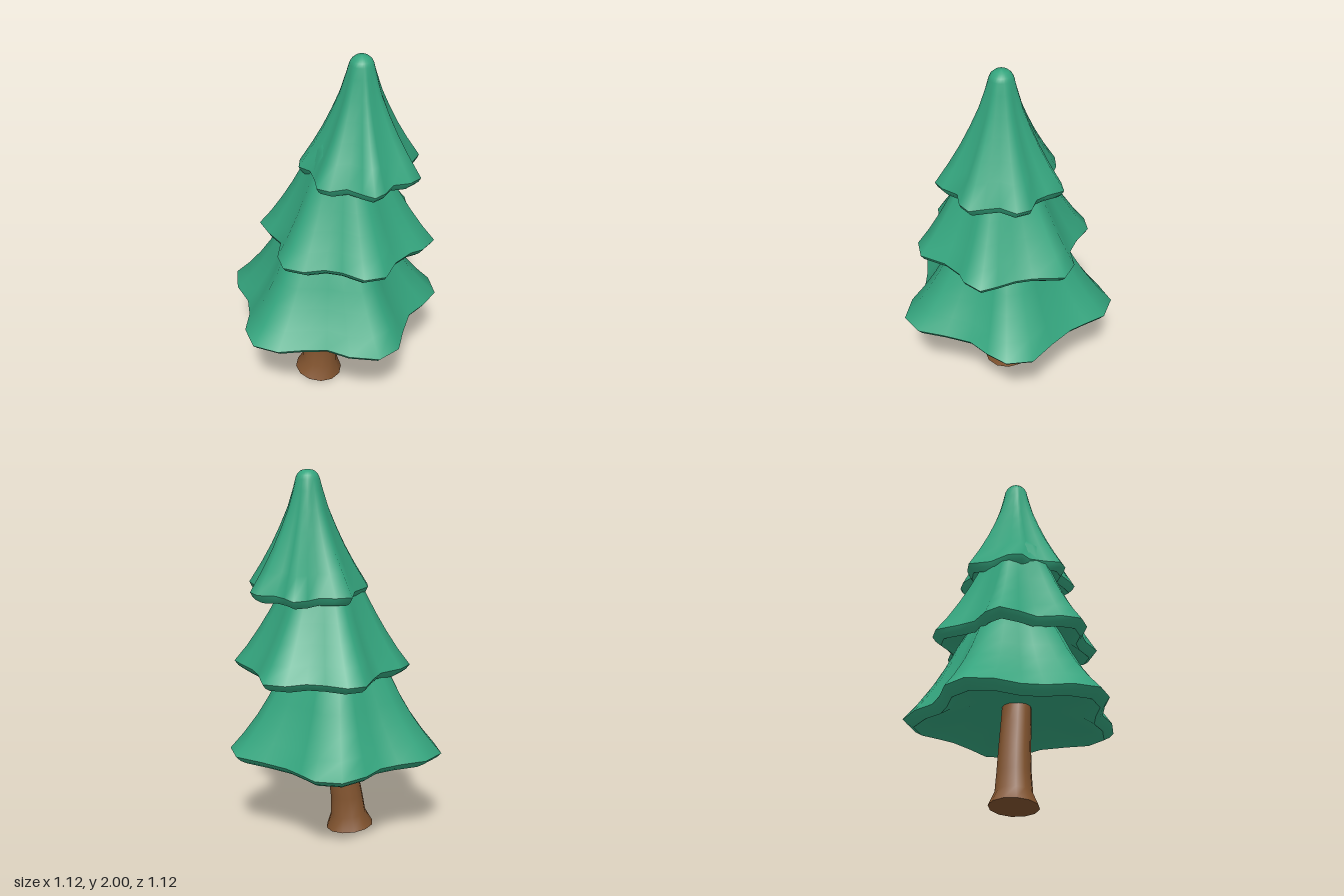
import * as THREE from 'three';

const green = new THREE.MeshStandardMaterial({ color: 0x34a57e });
green.name = 'pineGreen';
const brown = new THREE.MeshStandardMaterial({ color: 0x82542f });
brown.name = 'barkBrown';

// Skin a stack of equal-sized closed rings, listed from bottom to top.
function loft(name, rings, material) {
  const n = rings[0].length, index = [];
  for (let r = 0; r < rings.length - 1; r++) {
    for (let i = 0; i < n; i++) {
      const a = r * n + i, b = r * n + (i + 1) % n;
      index.push(b, a, a + n, b, a + n, b + n);
    }
  }
  const geometry = new THREE.BufferGeometry();
  geometry.setAttribute('position', new THREE.Float32BufferAttribute(rings.flat(2), 3));
  geometry.setIndex(index);
  geometry.computeVertexNormals();
  const mesh = new THREE.Mesh(geometry, material);
  mesh.name = name;
  return mesh;
}

// One foliage tier: a wavy rim outline shrinking to a small round tip.
// profile rows are [height, share of the outline, tip radius].
function tier(name, { outline, tip, rimY, tipRadius, profile }) {
  const ring = ([y, k, radius = (1 - k) * tipRadius]) => outline.map(([x, z]) => {
    const dx = x - tip[0], dz = z - tip[1], d = Math.hypot(dx, dz);
    const s = k + radius / d;
    return [tip[0] + dx * s, y, tip[1] + dz * s];
  });
  const group = new THREE.Group();
  group.name = name;
  const top = profile[profile.length - 1][0];
  const dome = [[0.02, 0.85], [0.037, 0.55], [0.045, 0]].map(([dy, f]) => [top + dy, 0, tipRadius * f]);
  const skirt = [[rimY, 1, 0], ...profile, ...dome];
  const underside = [[rimY + 0.06, 0.02, 0], [rimY + 0.045, 0.35, 0], [rimY - 0.01, 0.78, 0], [rimY - 0.045, 0.9, 0]];
  const lip = [[rimY - 0.045, 0.9, 0], [rimY - 0.025, 0.96, 0], [rimY, 1, 0]];
  group.add(loft(name + 'Skirt', skirt.map(ring), green));
  group.add(loft(name + 'Lip', lip.map(ring), green));
  group.add(loft(name + 'Underside', underside.map(ring), green));
  return group;
}

const lowerTier = {
  outline: [[-0.56, 0], [-0.51, -0.13], [-0.39, -0.22], [-0.31, -0.3], [-0.27, -0.42], [-0.18, -0.54],
    [-0.04, -0.56], [0.06, -0.5], [0.15, -0.45], [0.3, -0.41], [0.46, -0.38], [0.54, -0.265],
    [0.52, -0.14], [0.48, -0.02], [0.5, 0.13], [0.53, 0.27], [0.47, 0.39], [0.32, 0.435],
    [0.19, 0.43], [0.08, 0.48], [-0.04, 0.55], [-0.18, 0.555], [-0.28, 0.45], [-0.32, 0.32],
    [-0.38, 0.22], [-0.49, 0.13]],
  tip: [0.03, 0], rimY: 0.515, tipRadius: 0.13,
  profile: [[0.6, 0.83], [0.7, 0.66], [0.8, 0.52], [0.92, 0.38], [1.12, 0.1], [1.14, 0]],
};

const middleTier = {
  outline: [[-0.355, 0.09], [-0.33, 0], [-0.25, -0.1], [-0.24, -0.2], [-0.24, -0.33], [-0.16, -0.39],
    [-0.04, -0.38], [0.06, -0.39], [0.15, -0.455], [0.27, -0.46], [0.35, -0.32], [0.41, -0.25],
    [0.49, -0.19], [0.56, -0.13], [0.535, -0.02], [0.49, 0.03], [0.45, 0.14], [0.45, 0.28],
    [0.36, 0.35], [0.23, 0.335], [0.14, 0.35], [0.05, 0.41], [-0.06, 0.42], [-0.13, 0.34],
    [-0.17, 0.22], [-0.27, 0.16]],
  tip: [0.095, -0.01], rimY: 0.965, tipRadius: 0.125,
  profile: [[1.05, 0.81], [1.15, 0.62], [1.25, 0.45], [1.35, 0.3], [1.5, 0.09], [1.53, 0]],
};

const upperTier = {
  outline: [[-0.135, 0.04], [-0.1, -0.08], [-0.125, -0.2], [-0.05, -0.245], [0.03, -0.26], [0.07, -0.33],
    [0.13, -0.375], [0.2, -0.32], [0.26, -0.29], [0.35, -0.305], [0.41, -0.255], [0.405, -0.16],
    [0.45, -0.1], [0.5, -0.04], [0.47, 0.03], [0.4, 0.08], [0.39, 0.17], [0.36, 0.23],
    [0.29, 0.225], [0.2, 0.21], [0.13, 0.265], [0.06, 0.265], [0.02, 0.2], [-0.04, 0.125], [-0.11, 0.11]],
  tip: [0.165, -0.045], rimY: 1.385, tipRadius: 0.062,
  profile: [[1.5, 0.73], [1.6, 0.52], [1.7, 0.34], [1.8, 0.18], [1.9, 0.06], [1.955, 0]],
};

// Leaning trunk with a flared, slightly tilted foot.
function trunk() {
  const sides = 12;
  const ring = ([y, cx, cz, radius, tilt = 0]) => Array.from({ length: sides }, (_, i) => {
    const a = (i / sides) * Math.PI * 2;
    const x = -Math.cos(a) * radius;
    return [cx + x, y - x * tilt, cz - Math.sin(a) * radius];
  });
  const foot = [0.014, -0.04, 0.03, 0.13, 0.1];
  const group = new THREE.Group();
  group.name = 'trunk';
  group.add(loft('trunkStem', [foot, [0.09, -0.033, 0.027, 0.097, 0.08], [0.2, -0.024, 0.024, 0.089],
    [0.33, -0.004, 0.019, 0.084], [0.47, 0.022, 0.015, 0.08], [0.64, 0.05, 0.01, 0.075]].map(ring), brown));
  group.add(loft('trunkBase', [[0.014, -0.04, 0.03, 0], foot].map(ring), brown));
  return group;
}

export function createModel() {
  const tree = new THREE.Group();
  tree.name = 'pineTree';
  tree.add(trunk(), tier('lowerTier', lowerTier), tier('middleTier', middleTier), tier('upperTier', upperTier));
  return tree;
}
